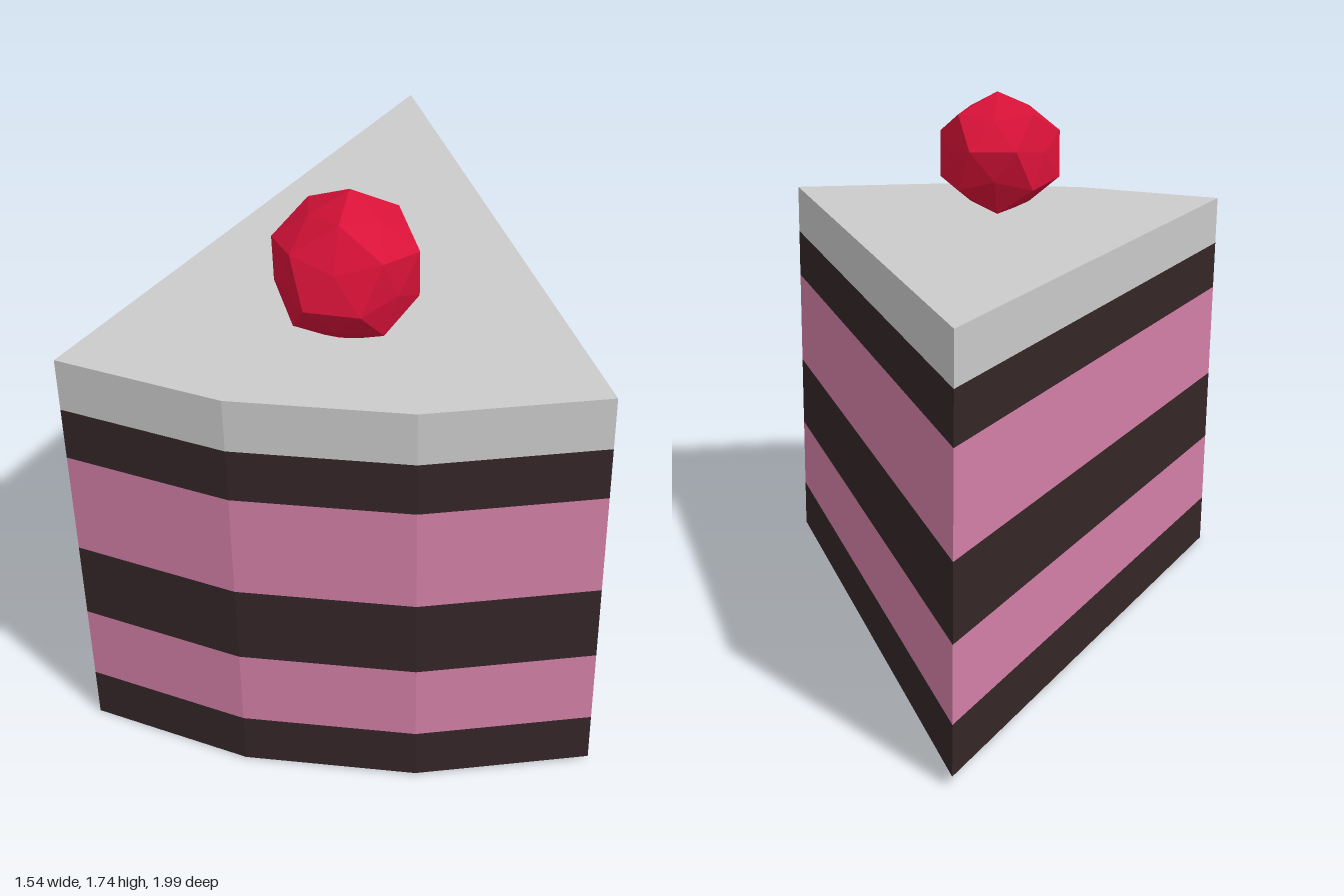
import * as THREE from 'three';
import { ConvexGeometry } from 'three/addons/geometries/ConvexGeometry.js';

const material = (color) => new THREE.MeshStandardMaterial({ color, flatShading: true });

// Corner points of a geometry as vectors
function corners(geometry, scale) {
  const p = geometry.attributes.position;
  return Array.from({ length: p.count }, (_, i) =>
    new THREE.Vector3().fromBufferAttribute(p, i).multiplyScalar(scale));
}

// Drop repeated points so the hull stays clean
function unique(points) {
  const out = [];
  for (const p of points) if (!out.some((q) => q.distanceTo(p) < 1e-4)) out.push(p);
  return out;
}

export function createModel() {
  const model = new THREE.Group();
  model.name = 'cakeSlice';

  const sponge = material(0x352628);
  const cream = material(0xd581a8);
  const icing = material(0xcccccc);
  const red = material(0xd81238);

  // Wedge outline in x and z: rounded rim at the front, point at the back
  const outline = [[-0.755, 0.78], [-0.27, 0.945], [0.247, 0.975], [0.765, 0.87], [0.12, -1.0]];
  const wedge = new THREE.Shape(outline.map(([x, z]) => new THREE.Vector2(x, -z)));

  // Stacked layers: name, top height, material
  const layers = [
    ['bottomSponge', 0.164, sponge],
    ['lowerCream', 0.412, cream],
    ['middleSponge', 0.66, sponge],
    ['upperCream', 0.988, cream],
    ['topSponge', 1.153, sponge],
    ['icing', 1.317, icing],
  ];

  // The whole slice leans very slightly
  const slice = new THREE.Group();
  slice.name = 'slice';
  slice.position.y = 0.024;
  slice.quaternion.setFromUnitVectors(
    new THREE.Vector3(0, 1, 0), new THREE.Vector3(-0.0122, 1, 0.0153).normalize());
  let base = 0;
  for (const [name, top, mat] of layers) {
    const geometry = new THREE.ExtrudeGeometry(wedge, { depth: top - base, bevelEnabled: false });
    geometry.rotateX(-Math.PI / 2);
    const layer = new THREE.Mesh(geometry, mat);
    layer.name = name;
    layer.position.y = base;
    slice.add(layer);
    base = top;
  }
  model.add(slice);

  // Cherry: dodecahedron with each pentagon slightly domed
  const r = 0.22;
  const points = unique([
    ...corners(new THREE.DodecahedronGeometry(1).rotateY(Math.PI / 2), r),
    ...corners(new THREE.IcosahedronGeometry(1), r * 0.87),
  ]);
  const cherry = new THREE.Mesh(new ConvexGeometry(points), red);
  cherry.name = 'cherry';
  cherry.position.set(0.008, 1.523, 0.573);
  cherry.rotation.set(0.2, -0.1, 0);
  model.add(cherry);

  return model;
}
